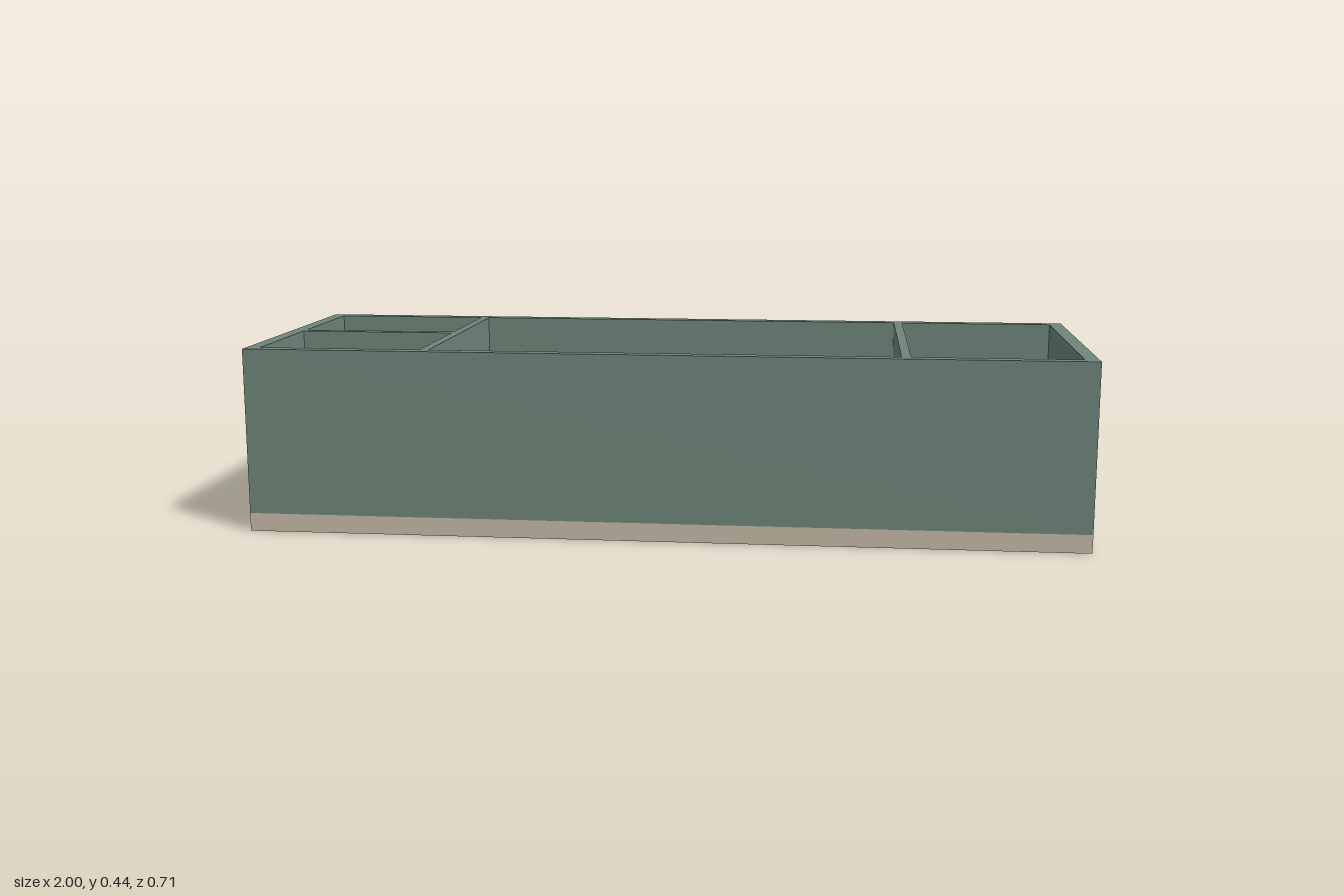
import * as THREE from 'three';

const W = 2, D = 0.71, H = 0.445, BASE = 0.044;

function rectangle(Type, x0, x1, y0, y1) {
  const r = new Type();
  r.moveTo(x0, y0);
  r.lineTo(x1, y0);
  r.lineTo(x1, y1);
  r.lineTo(x0, y1);
  r.closePath();
  return r;
}

export function createModel() {
  const green = new THREE.MeshStandardMaterial({ name: 'sage green', color: 0x6f857a });
  const beige = new THREE.MeshStandardMaterial({ name: 'warm beige', color: 0xc8baa8 });
  const model = new THREE.Group();
  model.name = 'dividedTray';

  // Base slab, forming the floor of every compartment
  const base = new THREE.Mesh(new THREE.BoxGeometry(W, BASE, D), beige);
  base.name = 'base';
  base.position.y = BASE / 2;
  model.add(base);

  // Outer walls and dividers, with one opening per compartment
  const plan = rectangle(THREE.Shape, -W / 2, W / 2, -D / 2, D / 2);
  const compartments = [
    [-0.967, -0.577, 0.012, 0.323],
    [-0.967, -0.577, -0.323, -0.012],
    [-0.555, 0.555, -0.323, 0.323],
    [0.577, 0.967, -0.323, 0.323],
  ];
  for (const c of compartments) plan.holes.push(rectangle(THREE.Path, ...c));
  const wallGeometry = new THREE.ExtrudeGeometry(plan, { depth: H - BASE, bevelEnabled: false });
  wallGeometry.rotateX(-Math.PI / 2);
  const walls = new THREE.Mesh(wallGeometry, green);
  walls.name = 'wallsAndDividers';
  walls.position.y = BASE;
  model.add(walls);

  return model;
}
